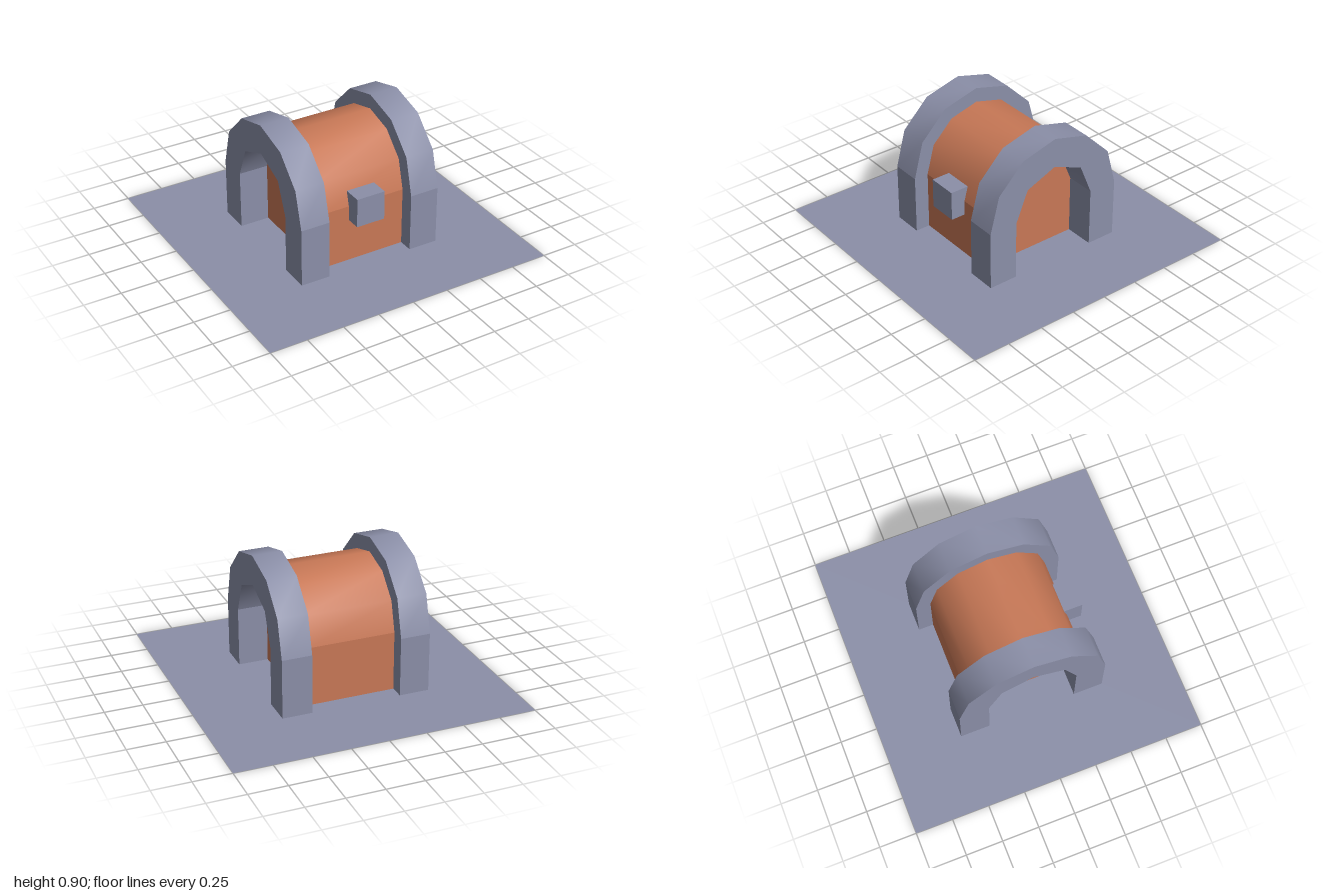
import * as THREE from 'three';
import { mergeGeometries } from 'three/addons/utils/BufferGeometryUtils.js';

const SPRING = 0.4; // height where the vaults start to curve

// Half-circle of [z, y] points running from the front over the top to the back
function arc(radius, segments) {
  return Array.from({ length: segments + 1 }, (_, i) => {
    const a = (Math.PI * i) / segments;
    return [radius * Math.cos(a), SPRING + radius * Math.sin(a)];
  });
}

// Band along x following a [z, y] profile, smooth within itself
function strip(profile, width) {
  const positions = [], index = [];
  profile.forEach(([z, y], i) => {
    positions.push(-width / 2, y, z, width / 2, y, z);
    if (i > 0) {
      const a = 2 * i - 2;
      index.push(a, a + 1, a + 3, a, a + 3, a + 2);
    }
  });
  const g = new THREE.BufferGeometry();
  g.setAttribute('position', new THREE.Float32BufferAttribute(positions, 3));
  g.setIndex(index);
  g.computeVertexNormals();
  return g;
}

// Straight walls below a smooth vault, kept apart so the spring line stays crisp
function vaultSkin(radius, segments, width, inward = false) {
  const profiles = [
    [[radius, 0], [radius, SPRING]],
    arc(radius, segments),
    [[-radius, SPRING], [-radius, 0]],
  ];
  return profiles.map((p) => strip(inward ? p.reverse() : p, width));
}

// Matching flat faces at both ends of a section
function endFaces(points, width) {
  const shape = new THREE.Shape(points.map(([z, y]) => new THREE.Vector2(z, y)));
  return [1, -1].map((side) => {
    const g = new THREE.ShapeGeometry(shape);
    g.deleteAttribute('uv');
    return g.rotateY((side * Math.PI) / 2).translate((side * width) / 2, 0, 0);
  });
}

const outline = (radius, segments) => [[radius, 0], ...arc(radius, segments), [-radius, 0]];

export function createModel() {
  const model = new THREE.Group();
  model.name = 'vaultedHut';
  const slate = new THREE.MeshStandardMaterial({ color: 0x8b8fa8, side: THREE.DoubleSide });
  slate.name = 'slate grey';
  const clay = new THREE.MeshStandardMaterial({ color: 0xc87856 });
  clay.name = 'clay orange';

  const add = (name, geometry, material) => {
    const mesh = new THREE.Mesh(geometry, material);
    mesh.name = name;
    model.add(mesh);
    return mesh;
  };

  // Flat ground sheet
  add('groundSheet', new THREE.PlaneGeometry(2, 2).rotateX(-Math.PI / 2), slate);

  // Barrel-vaulted body
  add('vaultedBody', mergeGeometries([
    ...vaultSkin(0.4, 6, 0.6),
    ...endFaces(outline(0.4, 6), 0.6),
  ]), clay);

  // Thick arches at both ends, with a coarser inner opening
  const archGeometry = mergeGeometries([
    ...vaultSkin(0.5, 6, 0.2),
    ...vaultSkin(0.3, 4, 0.2, true),
    ...endFaces([...outline(0.5, 6), ...outline(0.3, 4).reverse()], 0.2),
  ]);
  add('leftArch', archGeometry, slate).position.x = 0.4;
  add('rightArch', archGeometry, slate).position.x = -0.4;

  // Square block projecting from the front wall
  add('frontBlock', new THREE.BoxGeometry(0.2, 0.2, 0.2), slate).position.set(0, 0.4, 0.4);

  return model;
}
